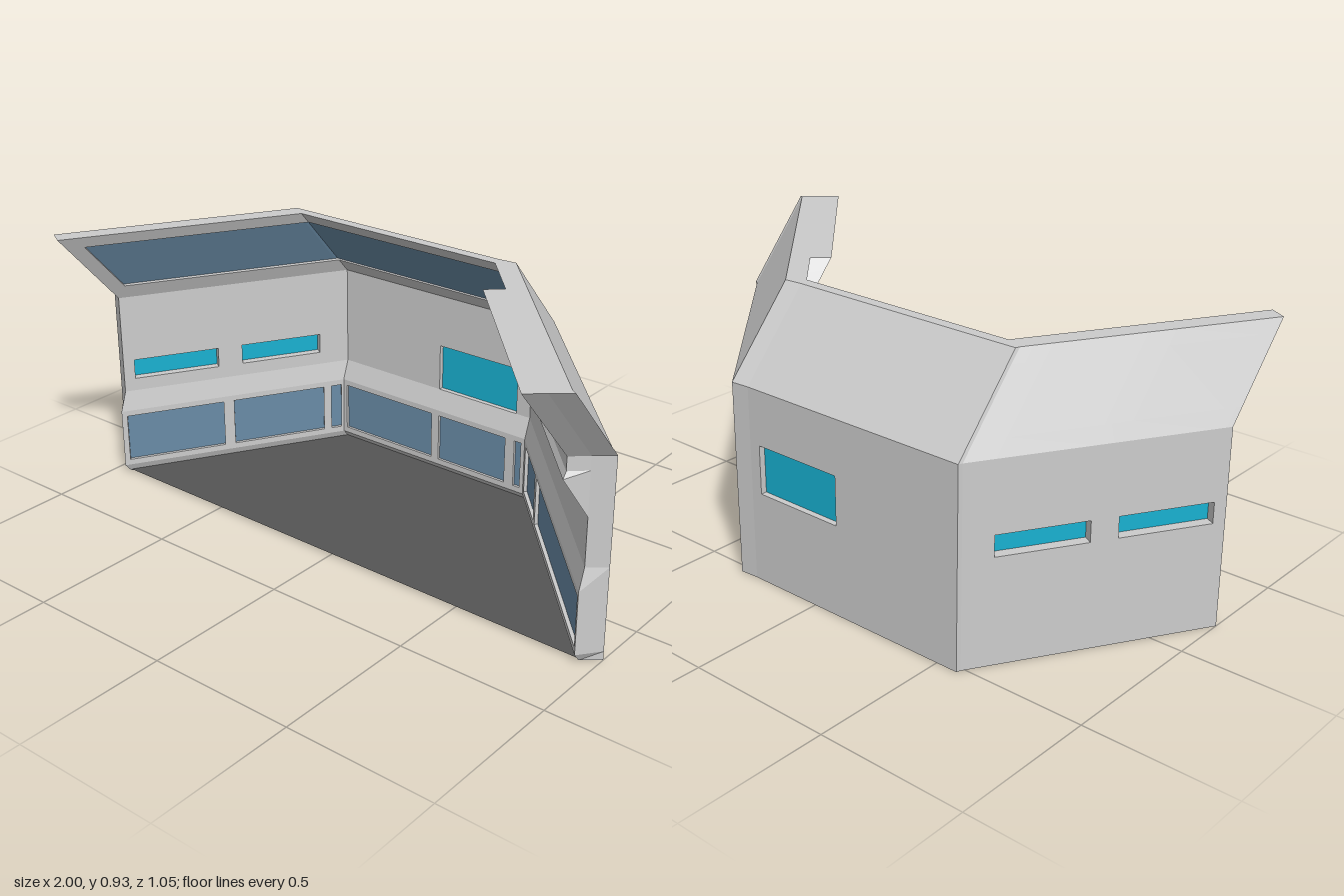
import * as THREE from 'three';

// Plan corners [x, z] of the three walls, inside and outside
const INNER = [[-0.945, 0.222], [-0.52, -0.487], [0.28, -0.487], [0.945, 0.235]];
const OUTER = [[-1, 0.19], [-0.575, -0.525], [0.33, -0.53], [1, 0.19]];

// Forward shift of the wall by height: [y, shift]
const INNER_SHIFT = [[0, 0], [0.03, 0.025], [0.24, 0.025], [0.31, 0], [0.66, 0], [0.93, 0.24]];
const OUTER_SHIFT = [[0, 0], [0.66, 0], [0.93, 0.24]];
// Overhead cabinet: bulge from the wall, and extra forward shift of its lip
const CABINET_BULGE = [[0.47, 0], [0.595, 0.068], [0.93, 0.068]];
const CABINET_SHIFT = [[0.47, 0], [0.595, 0.015], [0.615, 0], [0.66, 0], [0.93, 0.24]];

// Openings: [x0, x1, y0, y1, depth (0 inside .. 1 outside), part]
const panel = (x0, x1) => [x0, x1, 0.05, 0.22, 0.15, 'panel'];
const OPENINGS = [
  panel(-0.935, -0.755), panel(-0.735, -0.56), panel(-0.545, -0.525),
  panel(-0.505, -0.115), panel(-0.083, 0.2), panel(0.238, 0.265),
  panel(0.295, 0.43), panel(0.45, 0.935),
  [-0.915, 0.435, 0.71, 0.89, 0.3, 'panel'],
  [-0.925, -0.77, 0.355, 0.425, 0.45, 'glass'],
  [-0.725, -0.575, 0.355, 0.425, 0.45, 'glass'],
  [-0.1, 0.225, 0.31, 0.475, 0.45, 'glass'],
];
const CABINET_OPENINGS = [[0.48, 0.91, 0.71, 0.89, 0.2, 'panel']];

const lerp = THREE.MathUtils.lerp;

function along(table, y) {
  for (let i = 1; i < table.length; i++) {
    const [a, va] = table[i - 1], [b, vb] = table[i];
    if (y <= b) return lerp(va, vb, Math.max(0, (y - a) / (b - a)));
  }
  return table[table.length - 1][1];
}

// Wall run under x: inside point and unit outward normal
function planAt(x) {
  let i = 0;
  while (i < 2 && x > INNER[i + 1][0]) i++;
  const [ax, az] = INNER[i], [bx, bz] = INNER[i + 1];
  const len = Math.hypot(bx - ax, bz - az);
  const nx = (bz - az) / len, nz = -(bx - ax) / len;
  const thick = (OUTER[i][0] - ax) * nx + (OUTER[i][1] - az) * nz;
  return { z: lerp(az, bz, (x - ax) / (bx - ax)), nx, nz, thick };
}

function wallPoint(x, y, t) {
  const p = planAt(x);
  const corner = INNER.findIndex((c) => Math.abs(c[0] - x) < 1e-6);
  const [ox, oz] = corner >= 0 ? OUTER[corner] : [x + p.nx * p.thick, p.z + p.nz * p.thick];
  return [lerp(x, ox, t), y,
    lerp(p.z + along(INNER_SHIFT, y), oz + along(OUTER_SHIFT, y), t)];
}

function cabinetPoint(x, y, t) {
  const p = planAt(x);
  const b = -along(CABINET_BULGE, y) * (1 - t);
  const shift = lerp(along(CABINET_SHIFT, y), along(INNER_SHIFT, y), t);
  return [x + p.nx * b, y, p.z + p.nz * b + shift];
}

const sorted = (list) => [...new Set(list)].sort((a, b) => a - b);

// Grid of cells with recessed openings, stepped reveals and closed borders
function buildSurface(point, xs, ys, openings, base, parts) {
  const cellAt = (i, j) => {
    if (i < 0 || j < 0 || i >= xs.length - 1 || j >= ys.length - 1) return { depth: 1 };
    const x = (xs[i] + xs[i + 1]) / 2, y = (ys[j] + ys[j + 1]) / 2;
    const o = openings.find((q) => x > q[0] && x < q[1] && y > q[2] && y < q[3]);
    return o ? { depth: o[4], part: o[5] } : { depth: base, part: 'shell' };
  };
  const quad = (part, a, b, c, d) => parts[part].push(...a, ...b, ...c, ...a, ...c, ...d);
  for (let i = 0; i < xs.length; i++) {
    for (let j = 0; j < ys.length; j++) {
      const { depth: t, part } = cellAt(i, j);
      const x = xs[i], y = ys[j], x1 = xs[i + 1], y1 = ys[j + 1];
      if (part && !(base === 1 && part === 'glass')) {
        quad(part, point(x, y, t), point(x1, y, t), point(x1, y1, t), point(x, y1, t));
      }
      const l = cellAt(i - 1, j).depth, d = cellAt(i, j - 1).depth;
      if (y1 !== undefined && l !== t) {
        quad('shell', point(x, y, l), point(x, y, t), point(x, y1, t), point(x, y1, l));
      }
      if (x1 !== undefined && d !== t) {
        quad('shell', point(x, y, d), point(x1, y, d), point(x1, y, t), point(x, y, t));
      }
    }
  }
}

const COLORS = { shell: 0xcccccc, panel: 0x698ba6, glass: 0x18b1d1 };
const material = (color) => new THREE.MeshStandardMaterial(
  { color, flatShading: true, side: THREE.DoubleSide });

function addMeshes(group, parts, names) {
  for (const key in parts) {
    if (!parts[key].length) continue;
    const geo = new THREE.BufferGeometry();
    geo.setAttribute('position', new THREE.Float32BufferAttribute(parts[key], 3));
    geo.computeVertexNormals();
    const mesh = new THREE.Mesh(geo, material(COLORS[key]));
    mesh.name = names[key];
    group.add(mesh);
  }
}

export function createModel() {
  const model = new THREE.Group();
  model.name = 'angledRoom';

  // Three joined walls: inside face with rims, then outside face
  const walls = { shell: [], panel: [], glass: [] };
  const xs = sorted([...INNER.map((c) => c[0]), ...OPENINGS.flatMap((o) => [o[0], o[1]])]);
  const ys = sorted([...INNER_SHIFT.map((s) => s[0]), ...OPENINGS.flatMap((o) => [o[2], o[3]])]);
  buildSurface(wallPoint, xs, ys, OPENINGS, 0, walls);
  buildSurface(wallPoint, xs, ys, OPENINGS.filter((o) => o[5] === 'glass'), 1, walls);
  addMeshes(model, walls, { shell: 'walls', panel: 'wallPanels', glass: 'windows' });

  // Overhead cabinet on the left wall
  const cabinet = { shell: [], panel: [], glass: [] };
  buildSurface(cabinetPoint, [0.435, 0.48, 0.91, 0.945],
    [0.47, 0.595, 0.615, 0.66, 0.71, 0.89, 0.93], CABINET_OPENINGS, 0, cabinet);
  addMeshes(model, cabinet, { shell: 'overheadCabinet', panel: 'cabinetPanel' });

  // Floor between the walls
  const outline = new THREE.Shape(INNER.map(([x, z]) => new THREE.Vector2(x, z)));
  const floor = new THREE.Mesh(
    new THREE.ShapeGeometry(outline).rotateX(Math.PI / 2).translate(0, 0.006, 0),
    material(0x555555));
  floor.name = 'floor';
  model.add(floor);
  return model;
}
